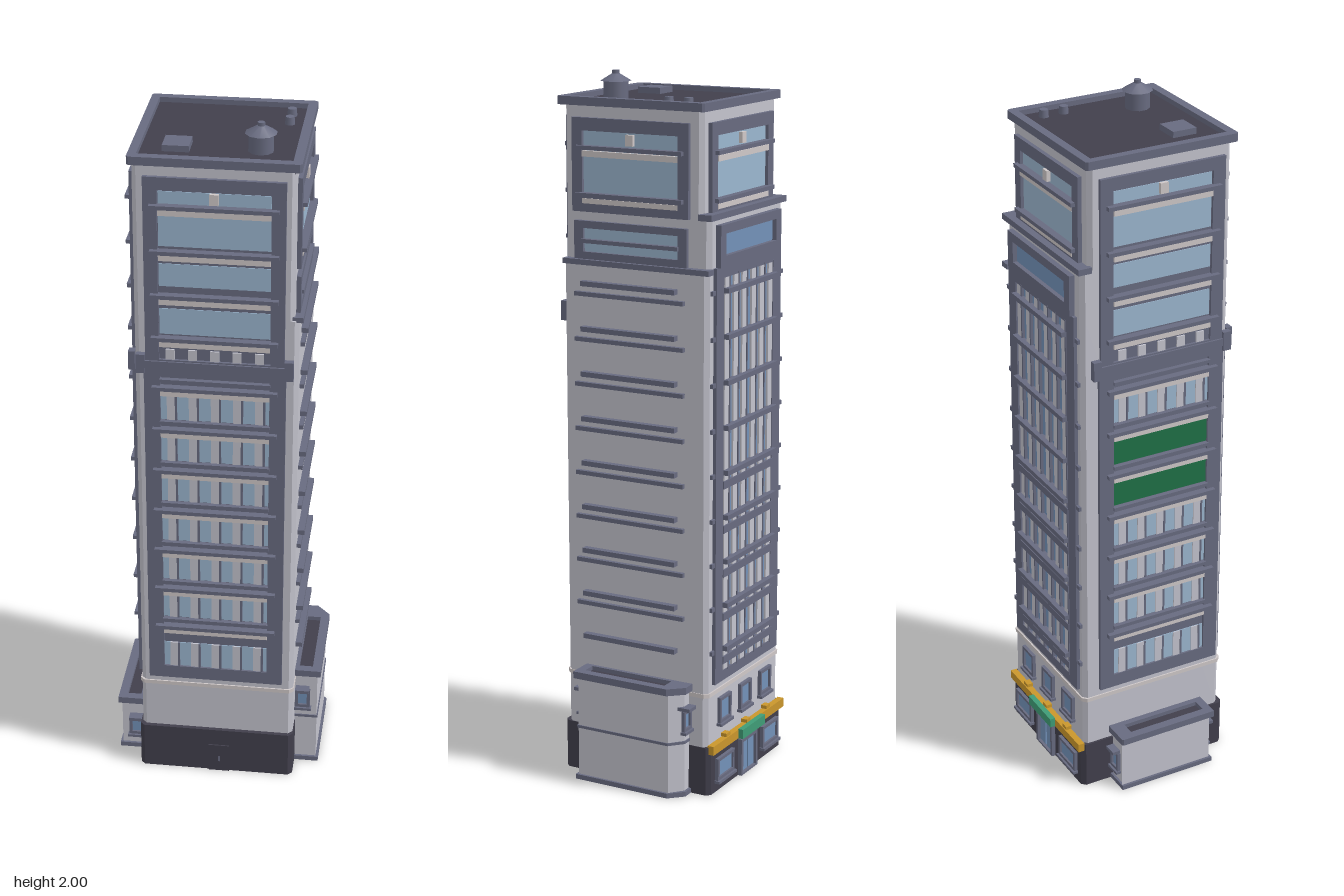
import * as THREE from 'three';

const M = {};
for (const [name, color] of Object.entries({
  paleStone: 0xc3c3cd, slate: 0x686b80, darkStone: 0x413f4c, glass: 0x9bb6cf, deepGlass: 0x7391b8,
  warmSill: 0xcfc8c8, awningOrange: 0xc9962c, signGreen: 0x3f9c76, panelGreen: 0x1f7046,
})) M[name] = new THREE.MeshStandardMaterial({ color, name });

function mesh(parent, name, geo, mat) {
  const m = new THREE.Mesh(geo, mat);
  m.name = name;
  parent.add(m);
  return m;
}

// Box given by its limits on each axis
function box(parent, name, mat, x0, x1, y0, y1, z0, z1) {
  const m = mesh(parent, name, new THREE.BoxGeometry(x1 - x0, y1 - y0, z1 - z0), mat);
  m.position.set((x0 + x1) / 2, (y0 + y1) / 2, (z0 + z1) / 2);
  return m;
}

const rect = (x0, x1, y0, y1) => [[x0, y0], [x1, y0], [x1, y1], [x0, y1]].map(p => new THREE.Vector2(...p));

// Upright rectangular frame, symmetric about x = 0
function frame(parent, name, mat, hw, y0, y1, side, bottom, top, depth, cx = 0) {
  const s = new THREE.Shape(rect(cx - hw, cx + hw, y0, y1));
  s.holes.push(new THREE.Path(rect(cx - hw + side, cx + hw - side, y0 + bottom, y1 - top)));
  return mesh(parent, name, new THREE.ExtrudeGeometry(s, { depth, bevelEnabled: false }), mat);
}

// Horizontal slab from a plan outline of [x, z], with an optional rectangular opening
function slab(parent, name, mat, plan, y0, y1, hole) {
  const s = new THREE.Shape(plan.map(([x, z]) => new THREE.Vector2(x, -z)));
  if (hole) s.holes.push(new THREE.Path(rect(hole[0], hole[1], -hole[3], -hole[2])));
  const g = new THREE.ExtrudeGeometry(s, { depth: y1 - y0, bevelEnabled: false });
  g.rotateX(-Math.PI / 2);
  mesh(parent, name, g, mat).position.y = y0;
}

// Plan with small chamfers on all corners
function chamfered(x0, x1, z0, z1, c) {
  return [[x0 + c, z0], [x1 - c, z0], [x1, z0 + c], [x1, z1 - c], [x1 - c, z1], [x0 + c, z1], [x0, z1 - c], [x0, z0 + c]];
}

// Facade group: local x runs along the wall, local z points outward
function facade(parent, name, angle, x, z) {
  const g = new THREE.Group();
  g.name = name;
  g.rotation.y = angle;
  g.position.set(x, 0, z);
  parent.add(g);
  return g;
}

function ledge(f, y, hw, out, mat = M.slate, h = 0.011) {
  box(f, 'ledge', mat, -hw, hw, y - h / 2, y + h / 2, 0, out);
}

// Framed large window of the crown
function crownWindow(f) {
  frame(f, 'crownFrame', M.slate, 0.18, 1.625, 1.88, 0.032, 0.045, 0.035, 0.012);
  box(f, 'crownGlass', M.glass, -0.148, 0.148, 1.67, 1.845, 0, 0.003);
  ledge(f, 1.8, 0.165, 0.024);
  ledge(f, 1.783, 0.148, 0.014, M.warmSill, 0.016);
  ledge(f, 1.672, 0.165, 0.024);
  ledge(f, 1.655, 0.148, 0.014, M.warmSill, 0.014);
  box(f, 'crownLamp', M.warmSill, -0.012, 0.012, 1.81, 1.84, 0, 0.014);
}

// Full-height facade with floors of windows; greenFrom/greenTo picks coloured floors
function windowFacade(f, greenFrom = 9, greenTo = 9) {
  frame(f, 'lowerFrame', M.slate, 0.192, 0.32, 1.335, 0.044, 0.04, 0.03, 0.01);
  frame(f, 'upperFrame', M.slate, 0.187, 1.335, 1.88, 0.037, 0.02, 0.035, 0.01);
  box(f, 'wallField', M.slate, -0.15, 0.15, 0.34, 1.86, 0, 0.002);
  for (let k = 0; k < 7; k++) {
    const y = 0.5 + 0.1285 * k, lo = k ? y - 0.1 : 0.36, hi = k ? y - 0.022 : 0.44;
    const green = y > greenFrom && y < greenTo;
    box(f, 'windowStrip', green ? M.panelGreen : M.glass, -0.148, 0.148, lo, hi, 0, 0.004);
    if (!green) for (let i = -2; i <= 2; i++) {
      box(f, 'pier', M.paleStone, i * 0.06 - 0.011, i * 0.06 + 0.011, lo, hi, 0, 0.007);
      box(f, 'pierEdge', M.slate, i * 0.06 + 0.011, i * 0.06 + 0.017, lo, hi, 0, 0.008);
    }
    ledge(f, y, 0.17, 0.024);
    ledge(f, y - 0.018, 0.148, 0.012, M.warmSill, 0.016);
    ledge(f, y + 0.022, 0.15, 0.016, M.slate, 0.009);
  }
  for (let i = -2; i <= 2; i++) box(f, 'pier', M.paleStone, i * 0.06 - 0.012, i * 0.06 + 0.012, 1.355, 1.385, 0, 0.007);
  for (const [lo, hi] of [[1.43, 1.505], [1.57, 1.635], [1.685, 1.775], [1.805, 1.84]])
    box(f, 'largeWindow', M.glass, -0.148, 0.148, lo, hi, 0, 0.004);
  for (const y of [1.42, 1.545, 1.672, 1.8]) {
    ledge(f, y, 0.17, 0.024);
    ledge(f, y - 0.018, 0.148, 0.013, M.warmSill, 0.016);
  }
  box(f, 'lamp', M.warmSill, -0.012, 0.012, 1.81, 1.84, 0, 0.014);
  ledge(f, 1.34, 0.212, 0.015, M.slate, 0.022);
  for (const s of [-1, 1]) box(f, 'cornerBracket', M.slate, s * 0.2 - 0.012, s * 0.2 + 0.012, 1.315, 1.37, 0, 0.018);
}

function smallWindow(f, x, y0, y1, hw) {
  frame(f, 'windowFrame', M.slate, hw, y0, y1, 0.009, 0.009, 0.009, 0.01, x);
  box(f, 'windowPane', M.deepGlass, x - hw + 0.008, x + hw - 0.008, y0 + 0.008, y1 - 0.008, 0, 0.004);
  box(f, 'windowSill', M.slate, x - hw - 0.004, x + hw + 0.004, y0 - 0.008, y0, 0, 0.016);
}

// Side annex with coping, sunken dark roof and end windows
function annex(parent, name, inner, outer, z0, z1, h, chamfer, wy) {
  const g = new THREE.Group();
  g.name = name;
  parent.add(g);
  const s = Math.sign(outer);
  const plan = d => [[inner, z1 - d], [outer - s * d, z1 - d], [outer - s * d, z0 + chamfer], [outer - s * (d + chamfer * 0.9), z0 + d], [inner, z0 + d]];
  slab(g, 'annexPlinth', M.slate, plan(0.003), 0, 0.014);
  slab(g, 'annexWall', M.paleStone, plan(0.01), 0.014, h - 0.02);
  const xs = [inner + s * 0.02, outer - s * 0.025].sort((a, b) => a - b);
  slab(g, 'annexCoping', M.slate, plan(0), h - 0.02, h, [xs[0], xs[1], z0 + 0.04 + chamfer / 2, z1 - 0.025]);
  slab(g, 'annexRoof', M.darkStone, plan(0.012), h - 0.02, h - 0.012);
  if (h > 0.25) slab(g, 'annexBand', M.slate, plan(0.007), 0.155, 0.163);
  const cx = inner + s * 0.032;
  smallWindow(facade(g, 'annexFrontWindow', 0, cx, z1 - 0.01), 0, wy, wy + 0.06, 0.022);
  smallWindow(facade(g, 'annexBackWindow', Math.PI, cx, z0 + 0.01), 0, wy, wy + 0.06, 0.022);
  box(g, 'windowHood', M.slate, cx - 0.02, cx + 0.02, wy + 0.06, wy + 0.07, z0 - 0.014, z1 + 0.018);
}

export function createModel() {
  const model = new THREE.Group();
  model.name = 'tower';

  // Main masses
  slab(model, 'base', M.darkStone, chamfered(-0.223, 0.226, -0.23, 0.242, 0.012), 0, 0.142);
  slab(model, 'lowerWalls', M.paleStone, chamfered(-0.217, 0.224, -0.22, 0.23, 0.012), 0.142, 1.485);
  slab(model, 'middleWalls', M.paleStone, chamfered(-0.217, 0.212, -0.22, 0.23, 0.012), 1.485, 1.63);
  slab(model, 'crownWalls', M.paleStone, chamfered(-0.217, 0.212, -0.197, 0.23, 0.012), 1.63, 1.92);
  box(model, 'sideSetbackCoping', M.slate, 0.205, 0.235, 1.48, 1.495, -0.228, 0.226);
  box(model, 'backSetbackCoping', M.slate, -0.222, 0.224, 1.625, 1.642, -0.23, -0.19);
  slab(model, 'lowerStringCourse', M.warmSill, chamfered(-0.221, 0.226, -0.224, 0.234, 0.012), 0.288, 0.3);

  // Roof
  slab(model, 'roofParapet', M.slate, chamfered(-0.227, 0.226, -0.208, 0.245, 0.006), 1.912, 1.935, [-0.204, 0.201, -0.184, 0.22]);
  box(model, 'roofDeck', M.darkStone, -0.21, 0.207, 1.9, 1.921, -0.19, 0.225);
  box(model, 'roofHatch', M.slate, -0.146, -0.075, 1.92, 1.938, 0.093, 0.164);
  const tank = new THREE.CylinderGeometry(0.034, 0.034, 0.055, 10).toNonIndexed();
  mesh(model, 'waterTank', tank, M.slate).position.set(0.108, 1.947, 0.128);
  mesh(model, 'tankRoof', new THREE.CylinderGeometry(0.01, 0.043, 0.02, 10), M.slate).position.set(0.108, 1.981, 0.128);
  mesh(model, 'tankCap', new THREE.CylinderGeometry(0.01, 0.01, 0.012, 8), M.slate).position.set(0.108, 1.994, 0.128);
  for (const z of [-0.128, -0.068])
    mesh(model, 'roofVent', new THREE.CylinderGeometry(0.012, 0.014, 0.022, 10), M.slate).position.set(0.163, 1.931, z);

  // Front and left facades
  windowFacade(facade(model, 'frontFacade', 0, 0, 0.23));
  windowFacade(facade(model, 'leftSideFacade', -Math.PI / 2, -0.217, 0.02), 0.95, 1.27);
  box(model, 'serviceDoor', M.darkStone, -0.02, 0.04, 0, 0.09, 0.24, 0.246);
  box(model, 'doorHandle', M.slate, 0.008, 0.014, 0.035, 0.05, 0.245, 0.249);

  // Plain side wall with paired ledges, and its crown
  const side = facade(model, 'plainSideLedges', Math.PI / 2, 0.224, 0.02);
  for (let k = 0; k < 9; k++) {
    const y = 0.415 + 0.1268 * k;
    ledge(side, y, 0.147, 0.019, M.slate, 0.014);
    if (k) ledge(side, y - 0.03, 0.17, 0.012, M.slate, 0.012);
  }
  const sideTop = facade(model, 'sideCrown', Math.PI / 2, 0.212, 0.02);
  crownWindow(sideTop);
  frame(sideTop, 'middleFrame', M.slate, 0.175, 1.495, 1.6, 0.028, 0.02, 0.02, 0.012);
  box(sideTop, 'middleGlass', M.glass, -0.148, 0.148, 1.51, 1.585, 0, 0.003);
  ledge(sideTop, 1.545, 0.15, 0.018);

  // Back facade
  crownWindow(facade(model, 'backCrown', Math.PI, 0, -0.197));
  const back = facade(model, 'backFacade', Math.PI, 0, -0.22);
  frame(back, 'headerFrame', M.slate, 0.18, 1.495, 1.61, 0.03, 0.03, 0.025, 0.016);
  box(back, 'headerGlass', M.deepGlass, -0.152, 0.152, 1.52, 1.59, 0, 0.003);
  frame(back, 'backFrame', M.slate, 0.192, 0.32, 1.495, 0.042, 0.03, 0.03, 0.01);
  box(back, 'backGlass', M.deepGlass, -0.15, 0.15, 0.345, 1.47, 0, 0.003);
  for (const x of [-0.13, -0.078, -0.028, 0.028, 0.078, 0.13]) {
    box(back, 'backPier', M.paleStone, x - 0.012, x + 0.012, 0.345, 1.47, 0, 0.009);
    box(back, 'backPierEdge', M.slate, x + 0.012, x + 0.018, 0.345, 1.47, 0, 0.011);
  }
  for (let k = 0; k < 9; k++) {
    const y = 0.415 + 0.1268 * k;
    ledge(back, y, 0.148, 0.024, M.slate, 0.014);
    if (k < 5) ledge(back, y - 0.035, 0.15, 0.013, M.slate, 0.022);
    for (const s of [-1, 1]) box(back, 'cornerBlock', M.slate, s * 0.2 - 0.009, s * 0.2 + 0.009, y - 0.006, y + 0.006, 0, 0.008);
  }

  // Street level at the back: windows, door, awning and sign
  for (const x of [-0.125, 0, 0.125]) smallWindow(back, x, 0.195, 0.27, 0.034);
  const street = facade(model, 'streetFront', Math.PI, 0, -0.23);
  for (const x of [-0.14, 0.14]) smallWindow(street, x, 0.035, 0.1, 0.05);
  frame(street, 'entranceFrame', M.slate, 0.05, 0, 0.11, 0.01, 0.006, 0.01, 0.012);
  for (const s of [-1, 1]) box(street, 'entranceDoor', M.deepGlass, s * 0.021 - 0.017, s * 0.021 + 0.017, 0.008, 0.098, 0, 0.005);
  box(street, 'awningBand', M.awningOrange, -0.22, 0.22, 0.122, 0.148, -0.008, 0.011);
  for (const x of [-0.125, 0, 0.125]) box(street, 'awningLamp', M.awningOrange, x - 0.012, x + 0.012, 0.148, 0.158, -0.01, 0.008);
  box(street, 'signPlate', M.signGreen, -0.07, 0.07, 0.122, 0.15, 0.01, 0.026);

  // Side annexes
  annex(model, 'leftAnnex', 0.215, 0.299, -0.175, 0.168, 0.325, 0.042, 0.195);
  annex(model, 'rightAnnex', -0.215, -0.3, -0.14, 0.167, 0.18, 0.004, 0.05);
  return model;
}
